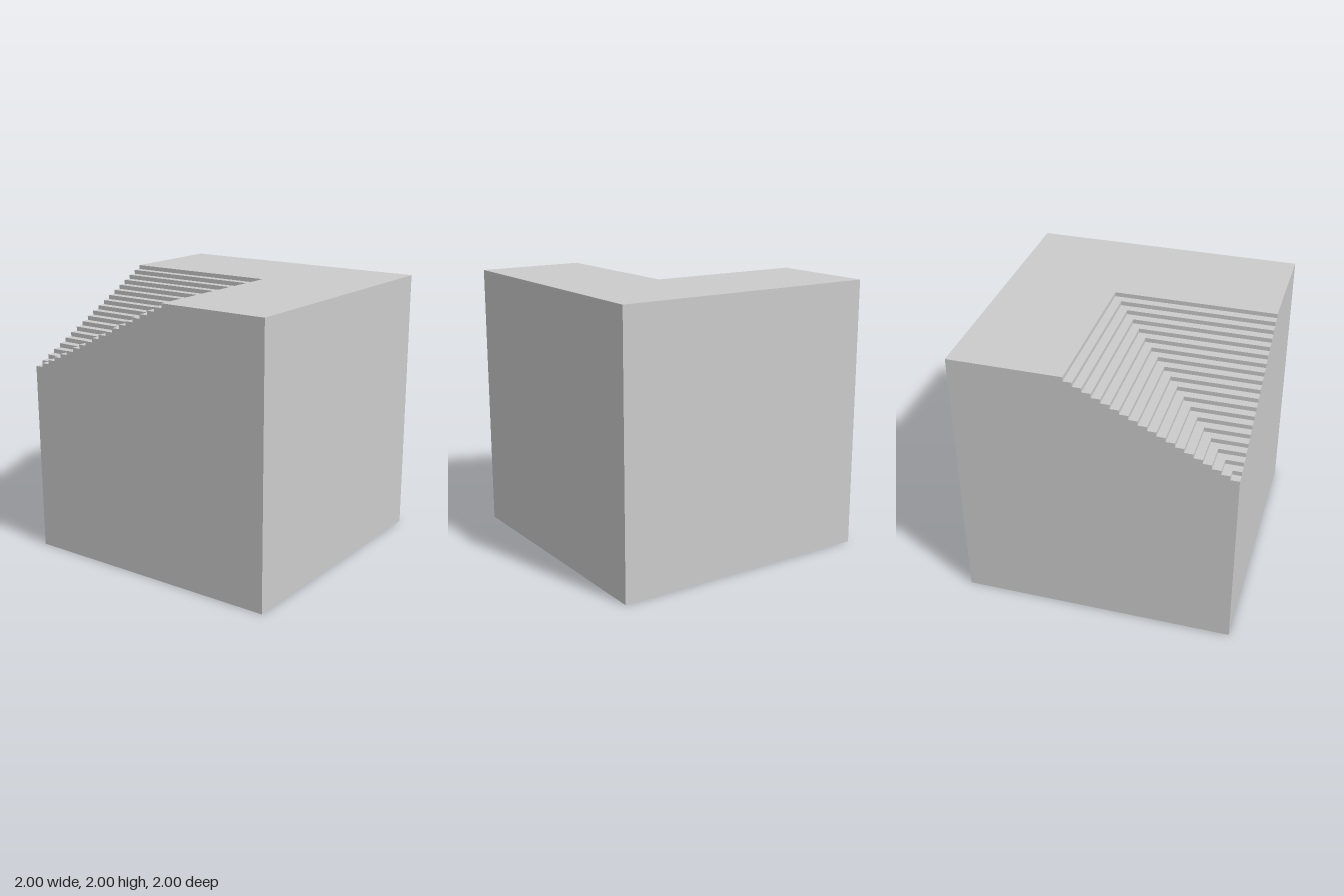
import * as THREE from 'three';
import { mergeGeometries } from 'three/addons/utils/BufferGeometryUtils.js';

const STEPS = 19;
const RUN = 0.0625;
const RISE = 0.03125;
const edge = k => -1 + k * RUN;                   // outer edge of step k, measured from the cut corner
const height = k => 2 - (STEPS + 1 - k) * RISE;   // tread height of step k

const polygon = points =>
  new THREE.ShapeGeometry(new THREE.Shape(points.map(([x, y]) => new THREE.Vector2(x, y))));

// Level surface between two square notches at the front right corner
function tread(a, b, y) {
  const points = a > -1
    ? [[a, -1], [b, -1], [b, b], [-1, b], [-1, a], [a, a]]
    : [[-1, -1], [b, -1], [b, b], [-1, b]];
  return polygon(points).rotateX(-Math.PI / 2).translate(0, y, 0);
}

export function createModel() {
  const group = new THREE.Group();
  const material = new THREE.MeshStandardMaterial({ color: 0xcccccc });
  const add = (name, geometries) => {
    const mesh = new THREE.Mesh(mergeGeometries(geometries), material);
    mesh.name = name;
    group.add(mesh);
  };

  // Treads and the two risers behind each one
  const treads = [];
  const risers = [];
  const profile = [[-1, 0], [1, 0], [1, 2]];
  for (let k = STEPS; k >= 1; k--) {
    const e = edge(k), width = k * RUN, y = height(k);
    treads.push(tread(edge(k - 1), e, y));
    risers.push(
      new THREE.PlaneGeometry(width, RISE).translate(e - width / 2, y + RISE / 2, -e),
      new THREE.PlaneGeometry(width, RISE).rotateY(-Math.PI / 2).translate(e, y + RISE / 2, 1 - width / 2)
    );
    profile.push([e, y + RISE], [e, y]);
  }
  profile.push([-1, height(1)]);
  add('stepTreads', treads);
  add('stepRisers', risers);

  // Uncut top of the block
  add('blockTop', [tread(edge(STEPS), 1, 2)]);

  // Front and right walls follow the stepped outline
  add('steppedWalls', [
    polygon(profile).translate(0, 0, 1),
    polygon(profile.map(([x, y]) => [-x, y])).rotateY(-Math.PI / 2).translate(-1, 0, 0)
  ]);

  // Plain back, left and bottom faces
  const square = () => new THREE.PlaneGeometry(2, 2);
  add('plainWalls', [
    square().rotateY(Math.PI).translate(0, 1, -1),
    square().rotateY(Math.PI / 2).translate(1, 1, 0),
    square().rotateX(Math.PI / 2)
  ]);

  return group;
}
